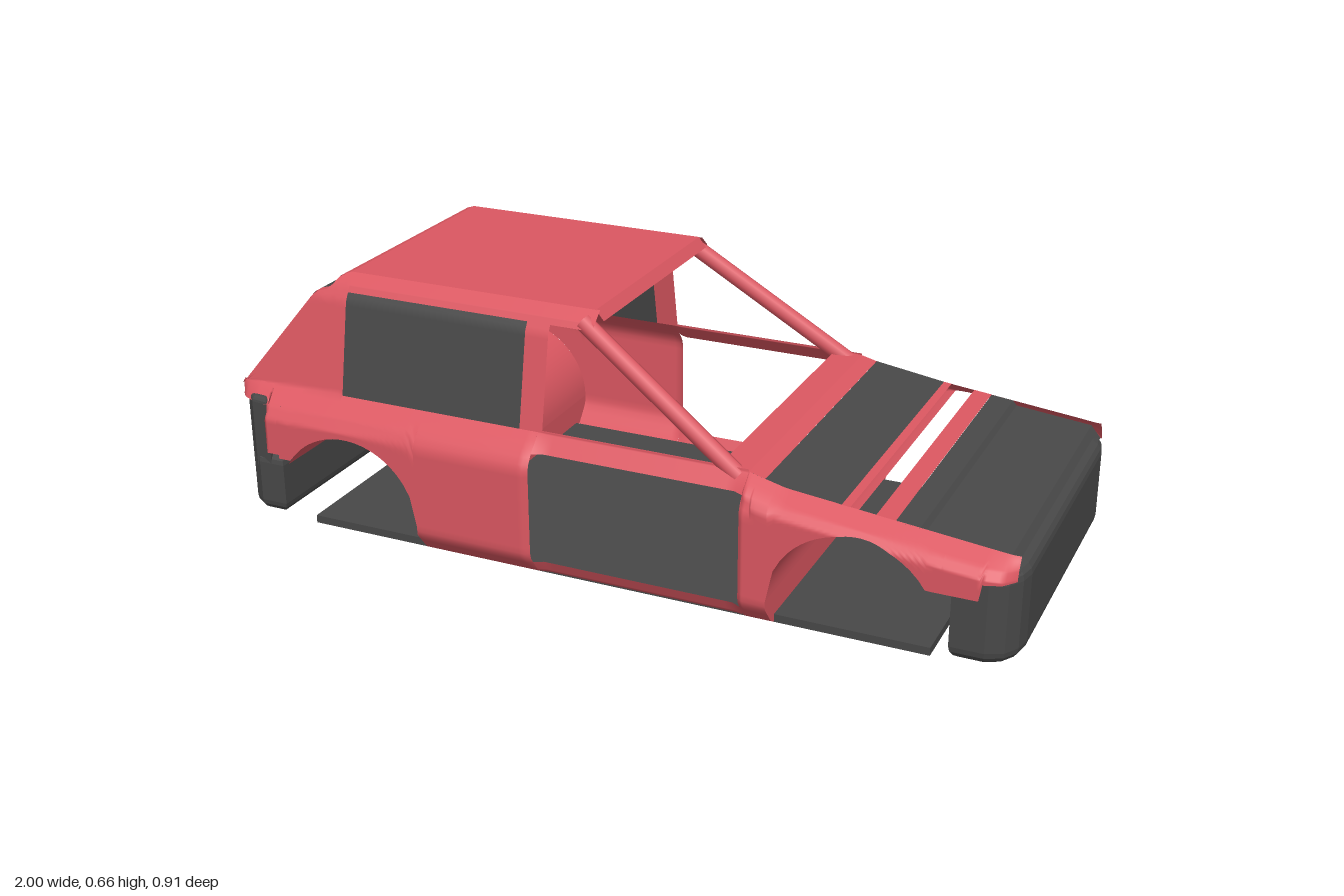
import * as THREE from 'three';

const red = new THREE.MeshStandardMaterial({ color: 0xdb5761, side: THREE.DoubleSide });
red.name = 'red paint';
const dark = new THREE.MeshStandardMaterial({ color: 0x484848, side: THREE.DoubleSide });
dark.name = 'dark grey';

// Piecewise linear lookup through [input, output] points
function lookup(points, t) {
  if (t <= points[0][0]) return points[0][1];
  for (let i = 1; i < points.length; i++) {
    const [a, va] = points[i - 1], [b, vb] = points[i];
    if (t <= b) return va + ((vb - va) * (t - a)) / (b - a);
  }
  return points[points.length - 1][1];
}

// Half width of the body by height, fullness of the flanks by length, and outlines
const section = [[0, 0.38], [0.02, 0.415], [0.07, 0.455], [0.3, 0.455], [0.33, 0.435], [0.37, 0.388], [0.6, 0.345], [0.635, 0.325], [0.66, 0.295]];
const fullness = [[-1, 0.15], [-0.985, 0.5], [-0.95, 0.85], [-0.91, 1], [-0.18, 1], [-0.15, 0.65], [0.34, 0.65], [0.37, 1], [0.92, 1], [0.96, 0.8], [0.985, 0.35]];
const rearRoofline = [[-1, 0.36], [-0.8, 0.612], [-0.765, 0.622], [-0.745, 0.65], [-0.72, 0.66]];
const hoodLine = [[0.36, 0.37], [0.45, 0.347], [0.97, 0.29]];
const hoodY = (x) => lookup(hoodLine, x);
const roofY = (x) => lookup(rearRoofline, x);
const halfWidth = (y) => lookup(section, y);
function flankZ(x, y) {
  // Ahead of the door the rounded shoulder follows the hood line
  const top = x > 0.36 ? hoodY(x) : 0.37;
  const level = x > 0.36 && y > top - 0.045 ? 0.3 + (0.07 * (y - top + 0.045)) / 0.045 : y;
  const z = halfWidth(level);
  return z > 0.385 && y < 0.37 ? 0.385 + (z - 0.385) * lookup(fullness, x) : z;
}

// Surface from a rule over a grid of cells
function gridGeometry(nu, nv, point, flip = false) {
  const positions = [], index = [];
  for (let j = 0; j <= nv; j++)
    for (let i = 0; i <= nu; i++) positions.push(...point(i / nu, j / nv));
  for (let j = 0; j < nv; j++)
    for (let i = 0; i < nu; i++) {
      const a = j * (nu + 1) + i, b = a + 1, c = a + nu + 1, d = c + 1;
      if (flip) index.push(a, c, b, b, c, d);
      else index.push(a, b, c, b, d, c);
    }
  const g = new THREE.BufferGeometry();
  g.setAttribute('position', new THREE.Float32BufferAttribute(positions, 3));
  g.setIndex(index);
  g.computeVertexNormals();
  return g;
}

export function createModel() {
  const car = new THREE.Group();
  car.name = 'carBody';
  const add = (name, geometry, material) => {
    const mesh = new THREE.Mesh(geometry, material);
    mesh.name = name;
    car.add(mesh);
    return mesh;
  };
  const value = (f, x) => (typeof f === 'function' ? f(x) : f);

  // Side skin between two height curves, mirrored to both sides
  function sideSkin(name, x0, x1, low, high, material = red) {
    for (const s of [1, -1]) {
      add(name, gridGeometry(24, 24, (u, v) => {
        const x = x0 + (x1 - x0) * u;
        const top = value(high, x), bottom = Math.min(value(low, x), top);
        const y = bottom + (top - bottom) * v;
        return [x, y, s * flankZ(x, y)];
      }, s < 0), material);
    }
  }

  // Panel across the car following [x, y] points between two z limits
  function deck(name, points, z0, z1, material = red) {
    const g = gridGeometry(1, points.length - 1, (u, v) => {
      const [x, y] = points[Math.round(v * (points.length - 1))];
      const a = value(z0, y), b = value(z1, y);
      return [x, y, a + (b - a) * u];
    }).toNonIndexed();
    g.computeVertexNormals();
    add(name, g, material);
  }

  // Lower flanks with the wheel arches
  const arch = (cx, r) => (x) => 0.09 + Math.sqrt(Math.max(0, r * r - (x - cx) ** 2));
  const rearArch = arch(-0.67, 0.195), frontArch = arch(0.63, 0.2);
  sideSkin('rearCorner', -1, -0.865, (x) => (x < -0.9 ? 0.33 : 0.21), 0.37);
  sideSkin('rearArchPanel', -0.865, -0.475, (x) => Math.max(rearArch(x), x < -0.67 ? 0.2 : 0), 0.37);
  sideSkin('rearFlank', -0.475, -0.17, 0.003, 0.37);
  sideSkin('doorSill', -0.17, 0.36, 0, 0.05);
  sideSkin('doorBelt', -0.17, 0.36, 0.33, 0.375);
  sideSkin('frontFlank', 0.36, 0.43, 0.003, hoodY);
  sideSkin('frontArchPanel', 0.43, 0.83, (x) => Math.max(frontArch(x), x > 0.63 ? 0.2 : 0), hoodY);
  sideSkin('frontCorner', 0.83, 0.985, (x) => (x > 0.92 ? 0.24 : 0.2), hoodY);

  // Wheel wells across the car
  function wheelWell(name, cx, r, from, to) {
    add(name, gridGeometry(1, 24, (u, v) => {
      const a = from + (to - from) * v;
      const x = cx + r * Math.cos(a), y = 0.09 + r * Math.sin(a);
      return [x, y, flankZ(x, y) * (2 * u - 1)];
    }), red);
  }
  wheelWell('rearWheelWell', -0.67, 0.195, 0, 2.6);
  wheelWell('frontWheelWell', 0.63, 0.2, 1.75, Math.PI);

  // Lower walls of the arches, reaching down to the sill
  for (const [x, name] of [[-0.475, 'rearArchWall'], [0.43, 'frontArchWall']]) {
    add(name, gridGeometry(1, 8, (u, v) => {
      const y = 0.003 + 0.087 * v;
      return [x, y, flankZ(x, y) * (2 * u - 1)];
    }), red);
  }

  // Cabin sides and rear side windows
  sideSkin('rearQuarter', -1, -0.71, 0.36, roofY);
  sideSkin('sideWindow', -0.71, -0.22, 0.37, 0.62, dark);
  sideSkin('roofRail', -0.71, -0.05, 0.62, 0.66);
  sideSkin('doorPillar', -0.22, -0.16, 0.37, 0.62);
  for (const s of [1, -1]) {
    const path = new THREE.LineCurve3(
      new THREE.Vector3(-0.085, 0.632, s * 0.312),
      new THREE.Vector3(0.335, 0.35, s * 0.38),
    );
    add('windshieldPillar', new THREE.TubeGeometry(path, 1, 0.022, 8), red);
  }

  // Roof, rear window and tail
  deck('roof', [[-0.72, 0.66], [-0.06, 0.66], [-0.04, 0.635]], -0.297, 0.297);
  deck('rearHeader', [[-0.765, 0.622], [-0.745, 0.65], [-0.72, 0.66]], (y) => -halfWidth(y), halfWidth);
  deck('rearWindow', [[-0.985, 0.365], [-0.93, 0.445], [-0.912, 0.46], [-0.89, 0.498], [-0.872, 0.515], [-0.8, 0.612], [-0.765, 0.622]], -0.31, 0.31, dark);
  const slope = [[-1, 0.36], [-0.992, 0.37], [-0.8095, 0.6], [-0.8, 0.612], [-0.765, 0.622]];
  deck('rearPillar', slope, 0.305, halfWidth);
  deck('rearPillar', slope, (y) => -halfWidth(y), -0.305);
  deck('tailEdge', [[-1, 0.335], [-1, 0.365], [-0.975, 0.365]], -0.39, 0.39);

  // Cowl, hood panels and the open slot between them
  const hood = (name, x0, x1, material) =>
    deck(name, [[x0, hoodY(x0)], [x1, hoodY(x1)]], -0.389, 0.389, material);
  deck('cowl', [[0.29, 0.375], [0.36, 0.37], [0.4, 0.36]], -0.388, 0.388);
  hood('hoodRear', 0.4, 0.58, dark);
  hood('hoodRearEdge', 0.58, 0.6, red);
  hood('hoodCrossbar', 0.66, 0.705, red);
  deck('hoodFront', [[0.705, 0.318], [0.76, 0.312], [0.77, 0.3], [0.96, 0.28], [0.985, 0.25]], -0.39, 0.39, dark);

  // Bumpers and tail panel, from half outlines in plan with rounded rims
  function planBlock(name, half, y0, y1, rim) {
    const outline = [...half, ...half.map(([x, z]) => [x, -z]).reverse()];
    const shape = new THREE.Shape(outline.map(([x, z]) => new THREE.Vector2(x, z)));
    const g = new THREE.ExtrudeGeometry(shape, {
      depth: y1 - y0 - 2 * rim, bevelThickness: rim, bevelSize: rim, bevelOffset: -rim, bevelSegments: 4,
    });
    g.rotateX(-Math.PI / 2).translate(0, y0 + rim, 0);
    add(name, g, dark);
  }
  planBlock('frontBumper', [[0.85, 0.435], [0.93, 0.435], [0.97, 0.415], [0.992, 0.38], [1, 0.34]], 0.03, 0.265, 0.035);
  planBlock('rearBumper', [[-0.87, 0.435], [-0.94, 0.435], [-0.97, 0.415], [-0.985, 0.38], [-0.99, 0.34]], 0.035, 0.2, 0.03);
  planBlock('tailPanel', [[-0.905, 0.435], [-0.95, 0.43], [-0.978, 0.405], [-0.992, 0.37]], 0.14, 0.345, 0.015);

  // Floor
  add('floor', new THREE.BoxGeometry(1.61, 0.02, 0.79), dark).position.set(-0.005, 0.018, 0);
  return car;
}
